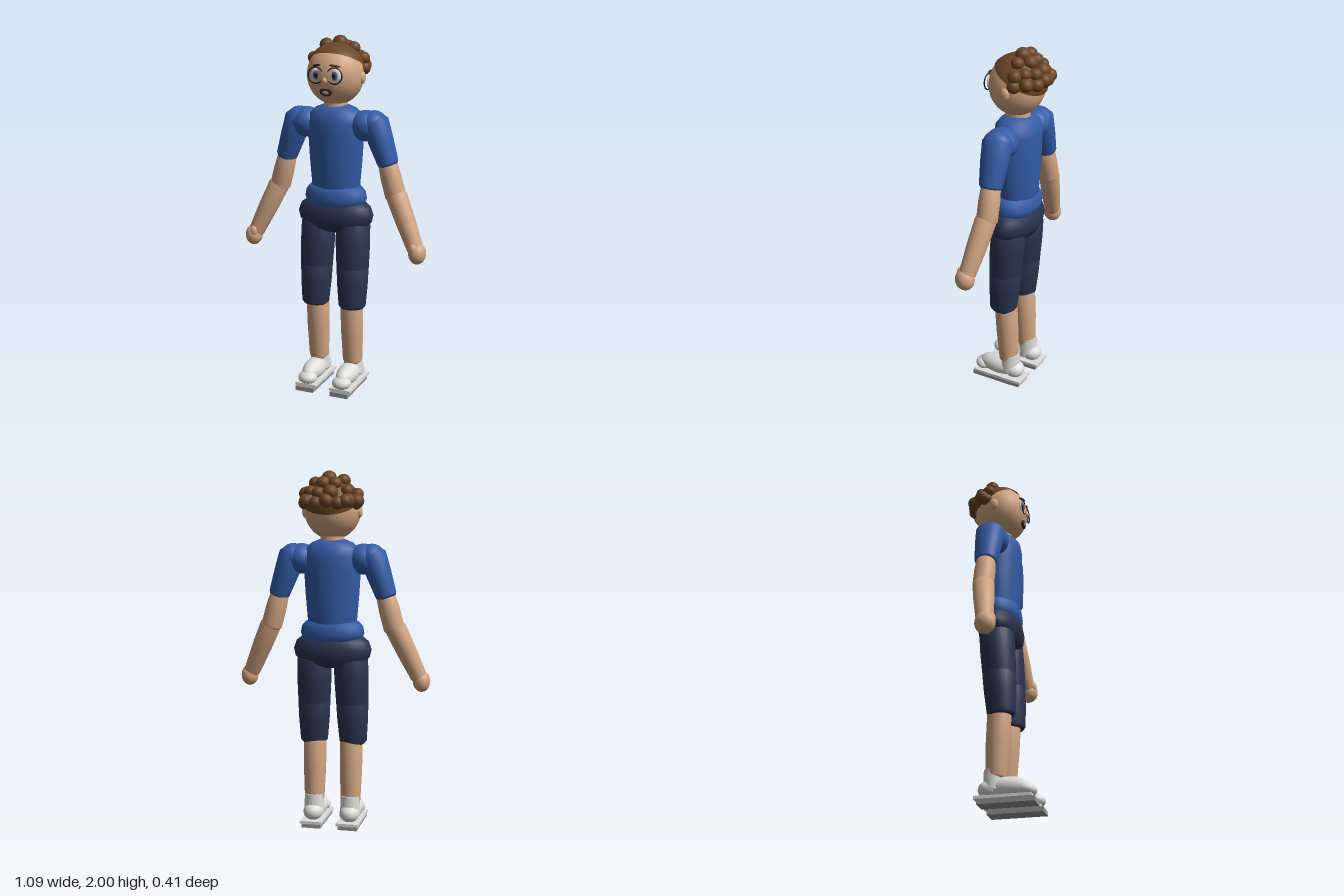
import * as THREE from 'three';

const mat = (name, color, extra = {}) => {
  const m = new THREE.MeshStandardMaterial({ color, ...extra });
  m.name = name;
  return m;
};

export function createModel() {
  const skin = mat('skin', 0xd2a582);
  const hair = mat('hair', 0x6b4524, { side: THREE.DoubleSide });
  const blue = mat('shirt blue', 0x345ca8);
  const navy = mat('shorts navy', 0x2b3450);
  const white = mat('shoe white', 0xdededc);
  const grey = mat('sole grey', 0x959595);
  const black = mat('black', 0x18181a);
  const iris = mat('iris slate', 0x54648c);
  const lip = mat('lip', 0xa58578);
  const beard = mat('dark brown', 0x3d2716);

  const model = new THREE.Group();
  model.name = 'figure';

  const add = (name, geo, material, pos = [0, 0, 0], scale = [1, 1, 1], parent = model) => {
    const m = new THREE.Mesh(geo, material);
    m.name = name;
    m.position.set(...pos);
    m.scale.set(...scale);
    parent.add(m);
    return m;
  };
  const ball = new THREE.SphereGeometry(1, 28, 18);
  const blob = (name, material, pos, radii, parent) => add(name, ball, material, pos, radii, parent);

  // Tapered limb from a to b; stretch squashes its depth
  const limb = (name, material, a, b, ra, rb, stretch = 1) => {
    const A = new THREE.Vector3(...a), B = new THREE.Vector3(...b);
    const d = B.clone().sub(A), len = d.length();
    const pts = [[0, 0], [0.7 * ra, 0.01], [ra, 0.04], [(ra + rb) / 2 + 0.003, len / 2],
      [rb, len - 0.015], [rb * 0.85, len], [0, len]].map(p => new THREE.Vector2(...p));
    const geo = new THREE.LatheGeometry(pts, 28);
    geo.scale(1, 1, stretch);
    // Lathe runs along +y, so point it along the limb
    const m = add(name, geo, material, a);
    m.quaternion.setFromUnitVectors(new THREE.Vector3(0, 1, 0), d.normalize());
    return m;
  };
  const body = (name, material, profile, depth, z) => add(name,
    new THREE.LatheGeometry(profile.map(p => new THREE.Vector2(...p)), 40),
    material, [0, 0, z], [1, 1, depth]);

  // Trunk
  body('torso', blue, [[0.12, 1.1], [0.138, 1.18], [0.15, 1.32], [0.158, 1.45], [0.16, 1.53],
    [0.148, 1.58], [0.115, 1.61], [0.07, 1.628], [0, 1.63]], 0.76, -0.012);
  body('shirtHem', blue, [[0, 1.05], [0.13, 1.053], [0.168, 1.075], [0.18, 1.11],
    [0.172, 1.15], [0.15, 1.175], [0.1, 1.185], [0, 1.185]], 0.66, -0.01);
  body('shortsHips', navy, [[0, 0.912], [0.1, 0.917], [0.175, 0.937], [0.212, 0.98], [0.221, 1.02],
    [0.205, 1.065], [0.17, 1.093], [0.1, 1.1], [0, 1.1]], 0.55, -0.008);
  add('neck', new THREE.CylinderGeometry(0.065, 0.07, 0.06, 24), skin, [0, 1.625, -0.01]);

  for (const s of [1, -1]) {
    const side = s > 0 ? 'left' : 'right';

    // Arm
    blob(side + 'Shoulder', blue, [s * 0.175, 1.52, -0.012], [0.085, 0.085, 0.09]);
    blob(side + 'ShoulderCap', blue, [s * 0.222, 1.53, -0.015], [0.073, 0.075, 0.082]);
    limb(side + 'Sleeve', blue, [s * 0.213, 1.58, -0.015], [s * 0.308, 1.31, -0.018], 0.075, 0.058, 1.1);
    limb(side + 'UpperArm', skin, [s * 0.29, 1.36, -0.018], [s * 0.353, 1.13, -0.02], 0.052, 0.058);
    limb(side + 'Forearm', skin, [s * 0.34, 1.18, -0.022], [s * 0.488, 0.86, 0.028], 0.059, 0.046);
    blob(side + 'Hand', skin, [s * 0.497, 0.847, 0.032], [0.048, 0.06, 0.055]);
    blob(side + 'Thumb', skin, [s * 0.482, 0.875, 0.065], [0.022, 0.032, 0.02]);

    // Leg
    limb(side + 'ShortsThigh', navy, [s * 0.104, 1.0, -0.01], [s * 0.11, 0.7, 0.01], 0.096, 0.091);
    limb(side + 'ShortsCuff', navy, [s * 0.109, 0.76, 0.006], [s * 0.113, 0.48, 0.022], 0.091, 0.077);
    limb(side + 'Shin', skin, [s * 0.105, 0.53, 0.01], [s * 0.105, 0.14, -0.01], 0.065, 0.056);

    // Shoe
    add(side + 'Ankle', new THREE.CylinderGeometry(0.053, 0.058, 0.11, 24), white, [s * 0.105, 0.13, -0.02]);
    blob(side + 'Heel', white, [s * 0.105, 0.085, -0.045], [0.056, 0.05, 0.06]);
    blob(side + 'ShoeBody', white, [s * 0.105, 0.09, 0.055], [0.058, 0.058, 0.125]);
    blob(side + 'Toe', white, [s * 0.105, 0.07, 0.155], [0.055, 0.037, 0.052]);
    add(side + 'Midsole', new THREE.BoxGeometry(0.126, 0.016, 0.305), white, [s * 0.105, 0.034, 0.038]);
    add(side + 'Sole', new THREE.BoxGeometry(0.108, 0.026, 0.305), grey, [s * 0.105, 0.013, 0.052]);
  }

  // Head
  const head = new THREE.Group();
  head.name = 'head';
  model.add(head);
  blob('skull', skin, [0, 1.79, -0.006], [0.157, 0.165, 0.152], head);
  blob('nose', skin, [0, 1.772, 0.146], [0.012, 0.016, 0.014], head);
  for (const s of [1, -1]) {
    blob('ear', skin, [s * 0.153, 1.778, -0.015], [0.016, 0.034, 0.027], head);
    blob('eyeWhite', white, [s * 0.053, 1.798, 0.126], [0.034, 0.039, 0.013], head);
    blob('iris', iris, [s * 0.052, 1.798, 0.136], [0.02, 0.024, 0.0055], head);
    blob('pupil', black, [s * 0.051, 1.798, 0.14], [0.01, 0.012, 0.004], head);
    add('glassesRim', new THREE.TorusGeometry(0.043, 0.0035, 8, 36), black, [s * 0.054, 1.798, 0.139], [1, 1, 1], head);
    const brow = blob('eyebrow', beard, [s * 0.053, 1.85, 0.13], [0.03, 0.006, 0.008], head);
    brow.rotation.set(0, s * 0.35, -s * 0.15);
  }
  add('glassesBridge', new THREE.BoxGeometry(0.026, 0.006, 0.006), black, [0, 1.803, 0.14], [1, 1, 1], head);

  // Mouth framed by whiskers
  blob('whiskers', beard, [0, 1.712, 0.124], [0.037, 0.027, 0.012], head);
  blob('lips', lip, [0, 1.706, 0.132], [0.02, 0.012, 0.007], head);

  // Hair cap tilted backwards, with curls over the crown and back
  const cap = add('hairCap', new THREE.SphereGeometry(0.165, 36, 16, 0, Math.PI * 2, 0, 1.28), hair,
    [0, 1.795, -0.006], [1, 1.03, 0.97], head);
  cap.rotation.x = -0.52;
  const curl = new THREE.IcosahedronGeometry(1, 2);
  const crown = [[-0.145, -0.045], [-0.07, -0.045], [0.01, -0.045], [0.085, -0.055], [0.135, -0.065],
    [-0.15, -0.085], [-0.1, -0.1], [-0.035, -0.1], [0.03, -0.1], [0.1, -0.105],
    [-0.1, -0.145], [-0.02, -0.145], [0.05, -0.14], [0.12, -0.125]];
  crown.forEach(([x, z], i) => {
    const y = 1.795 + Math.sqrt(Math.max(0.17 ** 2 - x * x - z * z, 0.0016));
    const r = 0.036 + 0.003 * (i % 3);
    add('curl', curl, hair, [x, y, z], [r, r * 0.95, r], head);
  });
  for (let i = 0; i < 7; i++) {
    const a = (i - 3) * 0.4, r = 0.037 + 0.003 * (i % 2);
    add('backCurl', curl, hair, [0.165 * Math.sin(a) * 0.92, 1.825 + 0.012 * (i % 2), -0.006 - 0.16 * Math.cos(a)],
      [r, r, r], head);
  }
  return model;
}
